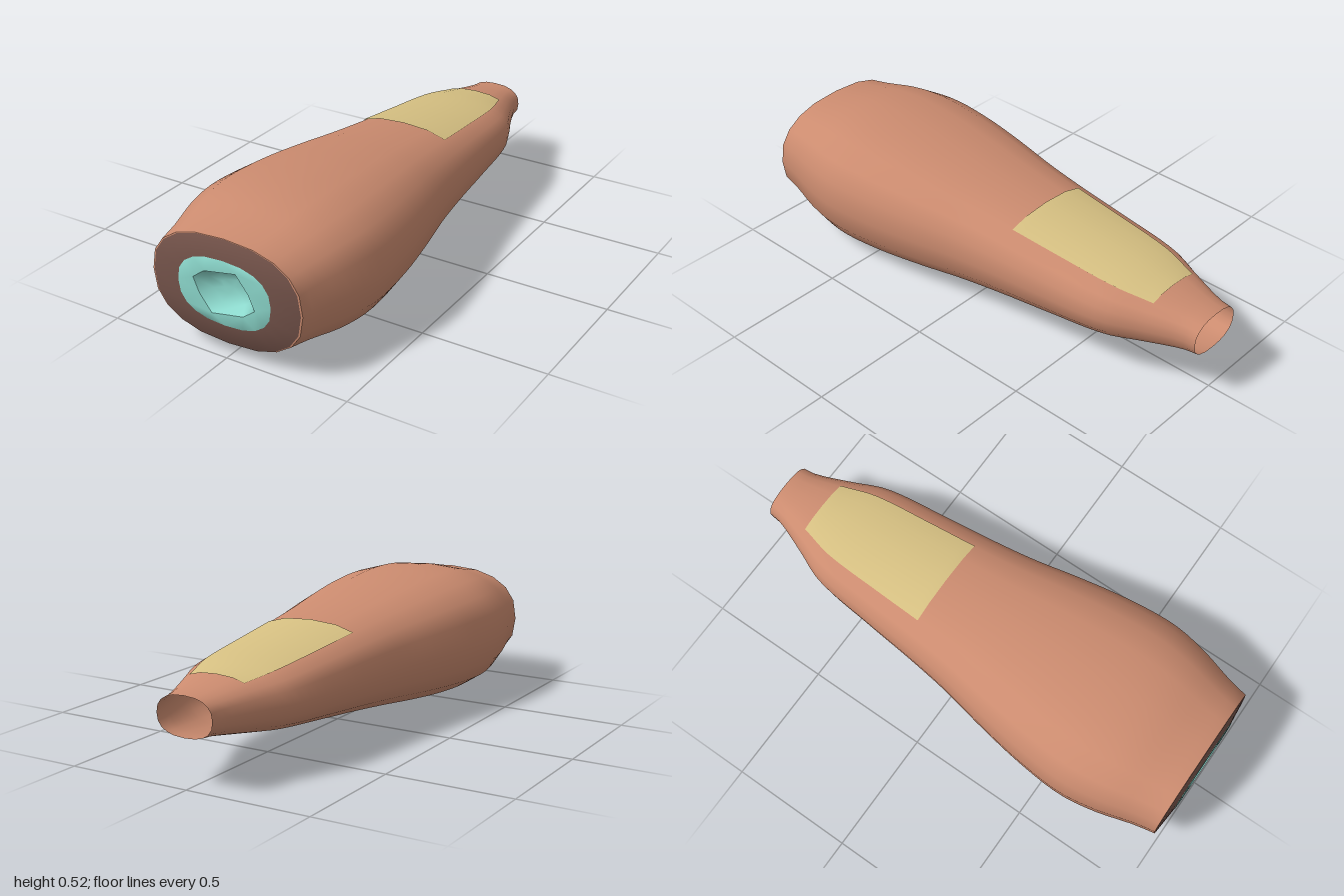
import * as THREE from 'three';
import { mergeVertices } from 'three/addons/utils/BufferGeometryUtils.js';

const CY = 0.262;   // height of the long axis
const SIDES = 20;

const mat = (name, color, side = THREE.FrontSide) => {
  const m = new THREE.MeshStandardMaterial({ color, side });
  m.name = name;
  return m;
};

// Point on a slightly squared oval
const ovalPoint = (a, rx, ry, z) => {
  const p = (v) => Math.sign(v) * Math.pow(Math.abs(v), 0.82);
  return new THREE.Vector3(rx * p(Math.cos(a)), CY + ry * p(Math.sin(a)), z);
};

const oval = (rx, ry, z) =>
  Array.from({ length: SIDES }, (_, i) => ovalPoint((i / SIDES) * Math.PI * 2, rx, ry, z));

// Smooth skin through a list of equally long rings
function loft(rings, closed = true) {
  const n = rings[0].length;
  const pos = [], idx = [];
  rings.forEach((r) => r.forEach((p) => pos.push(p.x, p.y, p.z)));
  for (let i = 0; i < rings.length - 1; i++) {
    for (let j = 0; j < (closed ? n : n - 1); j++) {
      const k = (j + 1) % n;
      const a = i * n + j, b = i * n + k, c = a + n, d = b + n;
      idx.push(a, b, d, a, d, c);
    }
  }
  let g = new THREE.BufferGeometry();
  g.setAttribute('position', new THREE.Float32BufferAttribute(pos, 3));
  g.setIndex(idx);
  g = mergeVertices(g, 1e-5);
  g.computeVertexNormals();
  return g;
}

// Long profile: z, half width, half height
const PROFILE = [
  [-1, 0.117, 0.075], [-0.94, 0.126, 0.081], [-0.8, 0.18, 0.105], [-0.66, 0.237, 0.128],
  [-0.4, 0.269, 0.158], [-0.2, 0.289, 0.181], [0, 0.315, 0.206], [0.2, 0.354, 0.231],
  [0.4, 0.386, 0.251], [0.6, 0.4, 0.26], [0.75, 0.378, 0.252], [0.9, 0.336, 0.222],
  [0.985, 0.319, 0.207],
];

// Half sizes at any z, by cubic interpolation of the profile
function sizeAt(z) {
  let i = 0;
  while (i < PROFILE.length - 2 && z > PROFILE[i + 1][0]) i++;
  const p0 = PROFILE[Math.max(i - 1, 0)], p1 = PROFILE[i], p2 = PROFILE[i + 1];
  const p3 = PROFILE[Math.min(i + 2, PROFILE.length - 1)];
  const h = p2[0] - p1[0], t = (z - p1[0]) / h;
  return [1, 2].map((k) => {
    const m1 = ((p2[k] - p0[k]) / (p2[0] - p0[0])) * h;
    const m2 = ((p3[k] - p1[k]) / (p3[0] - p1[0])) * h;
    const t2 = t * t, t3 = t2 * t;
    return (2 * t3 - 3 * t2 + 1) * p1[k] + (t3 - 2 * t2 + t) * m1
      + (3 * t2 - 2 * t3) * p2[k] + (t3 - t2) * m2;
  });
}

export function createModel() {
  const group = new THREE.Group();
  const skin = mat('skin', 0xcb8b6f, THREE.DoubleSide);
  const brown = mat('dark brown', 0x74534a);
  const teal = mat('teal', 0x8cd8cc);
  const sand = mat('sand', 0xd6c082, THREE.DoubleSide);

  const add = (name, geometry, material) => {
    const mesh = new THREE.Mesh(geometry, material);
    mesh.name = name;
    group.add(mesh);
  };

  // Hollow outer body, open at the narrow back end
  const bodyRings = [];
  for (let i = 0; i <= 44; i++) {
    const z = -1 + (1.985 * i) / 44;
    bodyRings.push(oval(...sizeAt(z), z));
  }
  add('body', loft(bodyRings), skin);

  // Thin lip around the wide front end
  add('frontLip', loft([oval(0.319, 0.207, 0.985), oval(0.308, 0.201, 0.987)]), skin);

  // Slightly domed front cap
  add('frontCap', loft([
    oval(0.312, 0.205, 0.965), oval(0.312, 0.205, 0.987), oval(0.19, 0.124, 0.998),
  ]), brown);

  // Core ring with a skewed eight-cornered recess
  const corners = [
    [0.13, -0.03], [0.105, 0.028], [0.055, 0.0925], [-0.08, 0.067],
    [-0.13, 0.03], [-0.105, -0.028], [-0.055, -0.0925], [0.08, -0.067],
  ];
  const recess = (scale, z) => oval(1, 1, 0).map((p, i) => {
    const a = (i / SIDES) * Math.PI * 2;
    const dir = new THREE.Vector2(Math.cos(a) * 0.197, Math.sin(a) * 0.128);
    let best = corners[0], bestDot = -2;
    for (const c of corners) {
      const dot = dir.dot(new THREE.Vector2(...c)) / (dir.length() * Math.hypot(...c));
      if (dot > bestDot) { bestDot = dot; best = c; }
    }
    return new THREE.Vector3(best[0] * scale, CY + best[1] * scale, z);
  });
  add('coreRing', loft([
    oval(0.197, 0.128, 0.985), oval(0.197, 0.128, 0.999), recess(1, 1),
  ]), teal);
  add('coreRecess', loft([
    recess(1, 1), recess(0.72, 0.955), recess(0.35, 0.945), recess(0, 0.943),
  ]), teal);

  // Thin panel wrapped over the top of the narrow end
  const panelRings = [];
  for (let i = 0; i <= 16; i++) {
    const z = -0.81 + (0.61 * i) / 16;
    const [rx, ry] = sizeAt(z);
    const ring = [];
    for (let j = 3; j <= 7; j++) {
      ring.push(ovalPoint((j / SIDES) * Math.PI * 2, rx + 0.004, ry + 0.004, z));
    }
    panelRings.push(ring);
  }
  add('topPanel', loft(panelRings, false), sand);

  return group;
}
